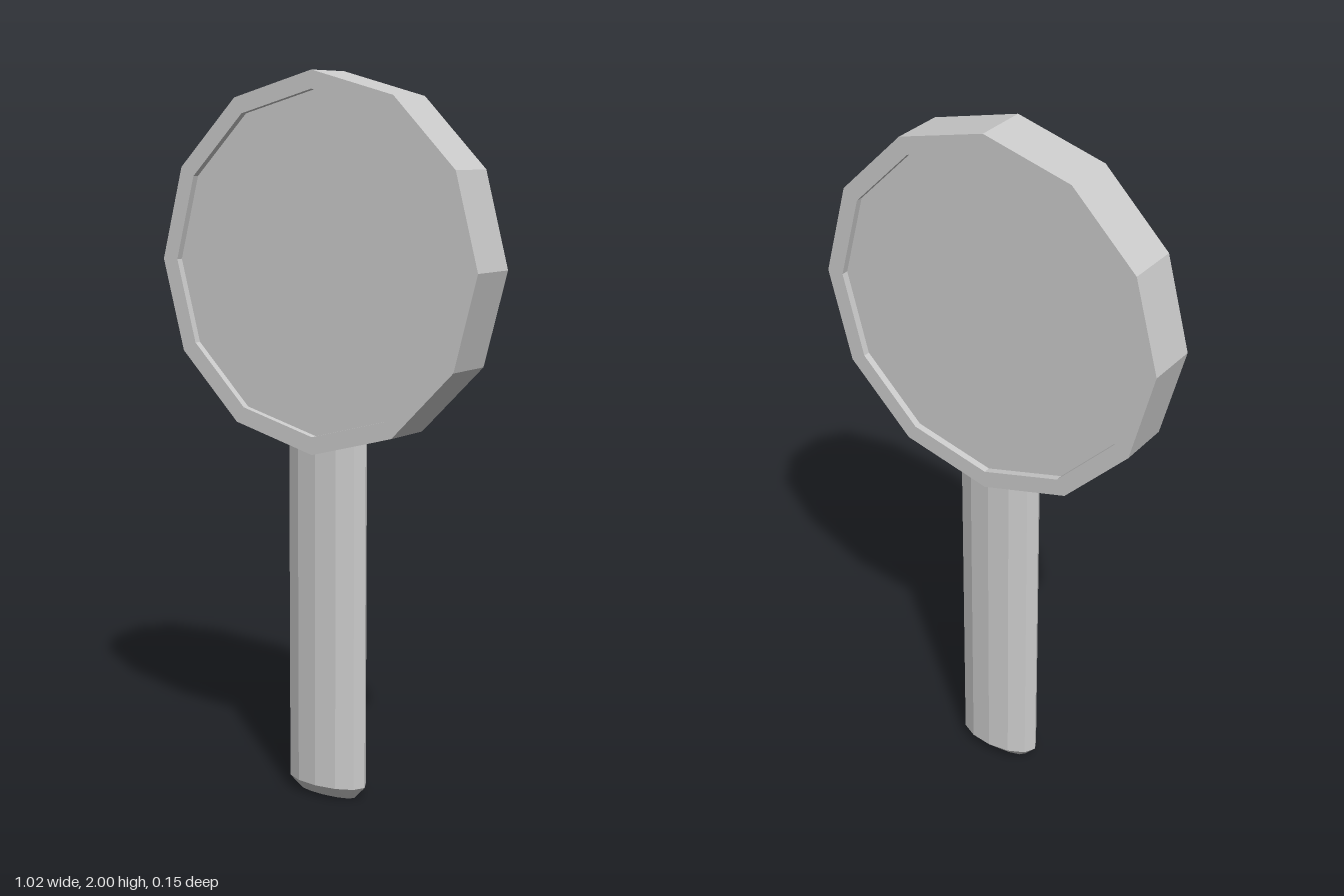
import * as THREE from 'three';

const SIDES = 12;

// Faceted solid of revolution from [radius, height] pairs, bottom to top
function facetedLathe(profile) {
  const points = profile.map(([r, y]) => new THREE.Vector2(r, y));
  return new THREE.LatheGeometry(points, SIDES);
}

function addPart(group, name, geometry) {
  const flat = geometry.toNonIndexed();
  flat.computeVertexNormals();
  const mesh = new THREE.Mesh(
    flat,
    new THREE.MeshStandardMaterial({ color: 0xcccccc, flatShading: true })
  );
  mesh.name = name;
  group.add(mesh);
  return mesh;
}

export function createModel() {
  const group = new THREE.Group();
  group.name = 'paddle';

  // Round head: raised rim around a shallow recess on both faces
  const outer = 0.511, inner = 0.462, half = 0.076, panel = 0.056;
  const headGeometry = facetedLathe([
    [0, -panel], [inner, -panel], [inner, -half], [outer, -half],
    [outer, half], [inner, half], [inner, panel], [0, panel],
  ]);
  headGeometry.rotateX(Math.PI / 2);
  addPart(group, 'head', headGeometry).position.y = 2 - outer;

  // Flattened oval handle, with an even chamfer round the bottom
  const handleGeometry = facetedLathe([[0, 0], [1, 0], [1, 0.037], [1, 1.02], [0, 1.02]]);
  const pos = handleGeometry.attributes.position;
  for (let i = 0; i < pos.count; i++) {
    const inset = pos.getY(i) < 0.001 ? 0.035 : 0;
    pos.setX(i, pos.getX(i) * (0.125 - inset));
    pos.setZ(i, pos.getZ(i) * (0.062 - inset));
  }
  addPart(group, 'handle', handleGeometry);

  return group;
}
